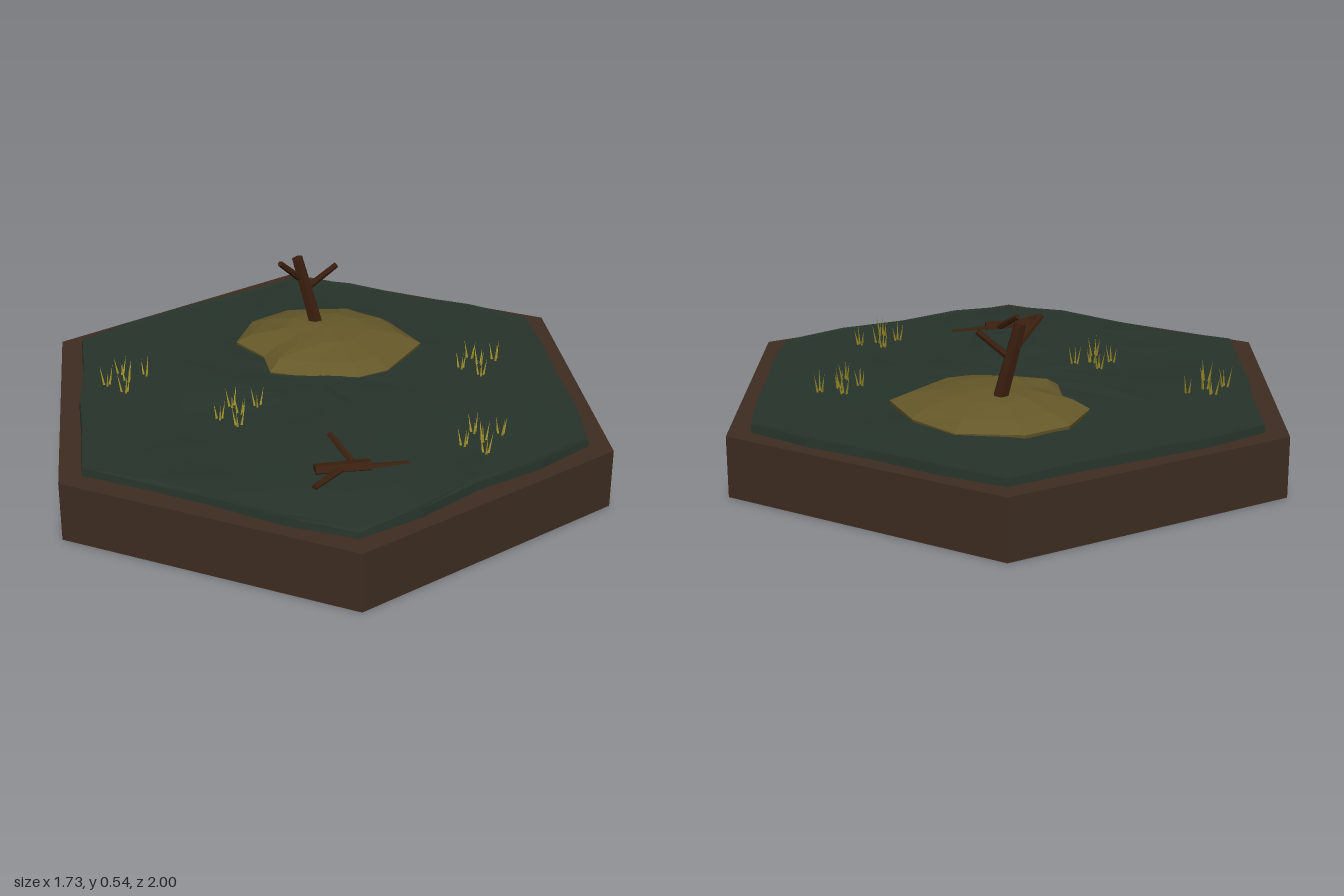
import * as THREE from 'three';

const V = (x, y, z) => new THREE.Vector3(x, y, z);
const mat = (color, side = THREE.FrontSide) =>
  new THREE.MeshStandardMaterial({ color, flatShading: true, side });

const soil = mat(0x3d2c20);
const marsh = mat(0x26332a);
const sand = mat(0x655829);
const bark = mat(0x3a1f0f);
const straw = mat(0xa0922c, THREE.DoubleSide);

function add(parent, name, geometry, material) {
  const mesh = new THREE.Mesh(geometry, material);
  mesh.name = name;
  parent.add(mesh);
  return mesh;
}

// Small repeatable random source
function seeded(seed) {
  return () => (seed = (seed * 16807) % 2147483647) / 2147483647;
}

// Faceted cap from counter-clockwise rings, outermost first, closed at a tip
function capFromRings(rings, tip) {
  const n = rings[0].length;
  const pos = [...rings.flat(), tip].flatMap((p) => [p.x, p.y, p.z]);
  const idx = [];
  rings.forEach((ring, r) => {
    for (let i = 0; i < n; i++) {
      const a = r * n + i, b = r * n + ((i + 1) % n);
      if (r === rings.length - 1) idx.push(a, b, rings.length * n);
      else idx.push(a, b, b + n, a, b + n, a + n);
    }
  });
  const g = new THREE.BufferGeometry();
  g.setAttribute('position', new THREE.Float32BufferAttribute(pos, 3));
  g.setIndex(idx);
  g.computeVertexNormals();
  return g;
}

// Gently rolling ground height
function groundHeight(x, z) {
  const bump = (cx, cz, w, h) => h * Math.exp(-((x - cx) ** 2 + (z - cz) ** 2) / (w * w));
  return 0.224 + bump(0.2, 0.12, 0.25, 0.022) + bump(0.5, 0.35, 0.2, 0.014) +
    bump(-0.25, -0.2, 0.35, 0.012) + 0.004 * Math.sin(7 * x + 2) * Math.cos(6 * z);
}

// Hexagonal ground sheet with a wavering rim
function groundGeometry() {
  const rand = seeded(17);
  const corner = (i) => V(0.925 * Math.sin((i * Math.PI) / 3), 0, 0.925 * Math.cos((i * Math.PI) / 3));
  const outline = [];
  for (let s = 0; s < 6; s++)
    for (let k = 0; k < 4; k++)
      outline.push(corner(s).lerp(corner(s + 1), k / 4).multiplyScalar(k ? 0.99 + 0.035 * rand() : 0.995));
  const ring = (f) => outline.map((p) => {
    const j = f < 0.9 ? f + (rand() - 0.5) * 0.06 : f;
    const x = p.x * j, z = p.z * j;
    return V(x, groundHeight(x, z) + (rand() - 0.5) * 0.008, z);
  });
  const skirt = outline.map((p) => V(p.x, 0.195, p.z));
  return capFromRings([skirt, ring(0.995), ring(0.97), ring(0.8), ring(0.6), ring(0.4), ring(0.2)],
    V(0, groundHeight(0, 0), 0));
}

// Sandy mound following an irregular outline
function moundGeometry() {
  const rand = seeded(5);
  const outline = [[-0.42, -0.43], [-0.54, -0.25], [-0.535, -0.09], [-0.43, 0.05], [-0.28, 0.04],
    [-0.17, 0.09], [-0.05, 0], [0.04, -0.13], [0.055, -0.24], [-0.04, -0.46], [-0.24, -0.48]];
  const cx = -0.25, cz = -0.2;
  const ring = (f, y, wobble) => outline.map(([x, z]) => {
    const s = f * (1 + (rand() - 0.5) * wobble);
    return V(cx + (x - cx) * s, y + (rand() - 0.5) * wobble * 0.06, cz + (z - cz) * s);
  });
  return capFromRings([ring(0.98, 0.2, 0), ring(1, 0.238, 0), ring(0.8, 0.267, 0.12),
    ring(0.45, 0.291, 0.12)], V(cx, 0.301, cz));
}

// Tapered six-sided limb between two points
function limb(parent, name, from, to, r0, r1) {
  const dir = to.clone().sub(from);
  const mesh = add(parent, name, new THREE.CylinderGeometry(r1, r0, dir.length(), 6), bark);
  mesh.position.copy(from).addScaledVector(dir, 0.5);
  mesh.quaternion.setFromUnitVectors(V(0, 1, 0), dir.normalize());
}

// Cluster of tufts, each made of three thin leaning blades
function grassCluster(x, z, seed) {
  const rand = seeded(seed);
  const group = new THREE.Group();
  group.name = 'grassCluster';
  const tufts = [[-0.06, -0.01], [0, -0.07], [0, 0], [0.065, 0.05], [-0.015, 0.07]];
  for (const [dx, dz] of tufts) {
    const px = x + dx, pz = z + dz;
    for (let b = 0; b < 3; b++) {
      const height = 0.055 + 0.025 * rand();
      const g = new THREE.ConeGeometry(0.0045, height, 3);
      g.translate(0, height / 2, 0);
      const blade = add(group, 'grassBlade', g, straw);
      const a = (b / 3) * Math.PI * 2 + rand();
      blade.position.set(px + 0.009 * Math.cos(a), groundHeight(px, pz) - 0.004, pz + 0.009 * Math.sin(a));
      blade.rotation.set(Math.sin(a) * 0.18, 0, -Math.cos(a) * 0.18);
    }
  }
  return group;
}

export function createModel() {
  const model = new THREE.Group();
  model.name = 'marshTile';

  // Hexagonal soil block
  const base = add(model, 'soilBase', new THREE.CylinderGeometry(1, 1, 0.2, 6), soil);
  base.position.y = 0.1;

  add(model, 'marshGround', groundGeometry(), marsh);
  add(model, 'sandMound', moundGeometry(), sand);

  // Dead tree standing on the mound
  const tree = new THREE.Group();
  tree.name = 'deadTree';
  limb(tree, 'trunk', V(-0.312, 0.27, -0.212), V(-0.352, 0.53, -0.158), 0.026, 0.021);
  limb(tree, 'branch', V(-0.338, 0.41, -0.18), V(-0.28, 0.5, -0.272), 0.012, 0.01);
  limb(tree, 'branch', V(-0.345, 0.44, -0.18), V(-0.334, 0.537, -0.072), 0.012, 0.01);
  model.add(tree);

  // Fallen tree half sunk in the ground
  const log = new THREE.Group();
  log.name = 'fallenTree';
  limb(log, 'trunk', V(0.46, 0.24, 0.37), V(0.53, 0.234, 0.21), 0.022, 0.024);
  limb(log, 'sunkenEnd', V(0.53, 0.228, 0.21), V(0.572, 0.224, 0.095), 0.014, 0.009);
  limb(log, 'branch', V(0.52, 0.228, 0.245), V(0.39, 0.304, 0.262), 0.012, 0.01);
  limb(log, 'branch', V(0.5, 0.24, 0.29), V(0.543, 0.242, 0.432), 0.012, 0.01);
  model.add(log);

  // Dry grass
  [[-0.42, 0.5], [0, 0.33], [0.19, -0.53], [0.6, -0.19]].forEach(([x, z], i) =>
    model.add(grassCluster(x, z, 31 + i * 57)));

  return model;
}
